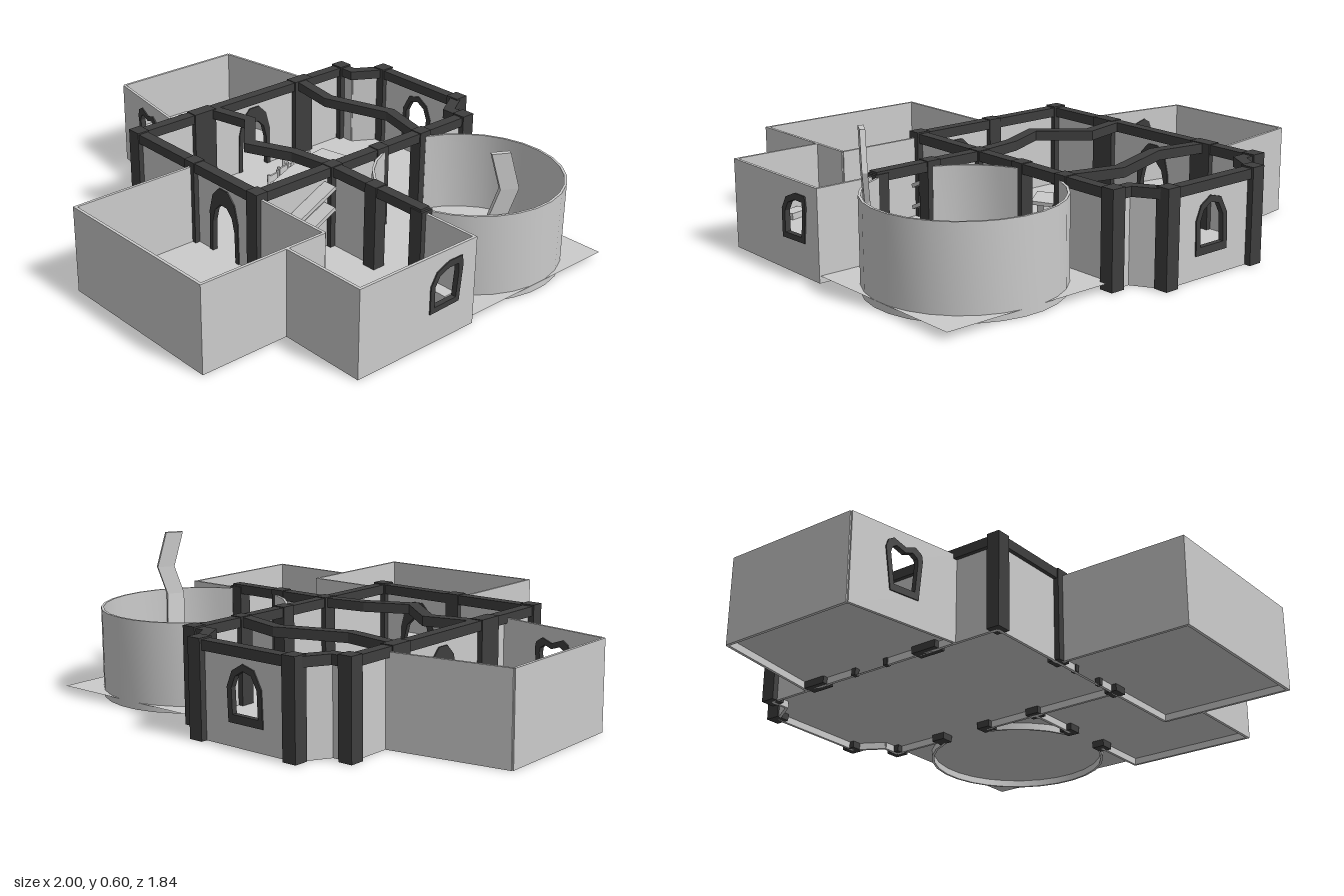
import * as THREE from 'three';
import { toCreasedNormals } from 'three/addons/utils/BufferGeometryUtils.js';

const grey = new THREE.MeshStandardMaterial({ color: 0xcccccc, side: THREE.DoubleSide });
const dark = new THREE.MeshStandardMaterial({ color: 0x3e3e3e });
const H = 0.355, T = 0.012, FLOOR = 0.028;

function add(parent, name, geo, mat = grey) {
  const m = new THREE.Mesh(geo, mat);
  m.name = name;
  parent.add(m);
  return m;
}
function box(parent, name, x0, x1, y0, y1, z0, z1, mat = grey) {
  const m = add(parent, name, new THREE.BoxGeometry(x1 - x0, y1 - y0, z1 - z0), mat);
  m.position.set((x0 + x1) / 2, (y0 + y1) / 2, (z0 + z1) / 2);
  return m;
}
const vecs = (pts, s = 1, cx = 0, cy = 0) =>
  pts.map(([x, y]) => new THREE.Vector2(cx + (x - cx) * s, cy + (y - cy) * s));
const plan = pts => new THREE.Shape(pts.map(([x, z]) => new THREE.Vector2(x, -z)));

// thin floor sheet from an [x, z] outline
function floor(parent, name, pts) {
  add(parent, name, new THREE.ShapeGeometry(plan(pts)).rotateX(-Math.PI / 2).translate(0, FLOOR, 0));
}
// horizontal slab from an [x, z] outline between two heights
function slab(parent, name, pts, y0, y1, mat = grey) {
  const g = new THREE.ExtrudeGeometry(plan(pts), { depth: y1 - y0, bevelEnabled: false });
  g.rotateX(-Math.PI / 2).translate(0, y0, 0);
  return add(parent, name, g, mat);
}
// mitred band of constant width along an [x, z] path
function band(parent, name, path, w, y0, y1, mat = dark) {
  const p = vecs(path), left = [], right = [];
  p.forEach((q, i) => {
    const a = q.clone().sub(p[Math.max(i - 1, 0)]).normalize();
    const b = p[Math.min(i + 1, p.length - 1)].clone().sub(q).normalize();
    const t = a.clone().add(b).normalize();
    const cos = Math.max(t.dot(i ? a : b), 0.5), k = w / 2 / cos;
    left.push([q.x - t.y * k, q.y + t.x * k]);
    right.unshift([q.x + t.y * k, q.y - t.x * k]);
  });
  return slab(parent, name, [...left, ...right], y0, y1, mat);
}

// opening outlines: [across, height], centred on the opening
const archWindow = [[-0.085, 0.09], [0.08, 0.09], [0.085, 0.22], [0.06, 0.28], [0.01, 0.31], [-0.045, 0.295], [-0.08, 0.23]];
const crookedWindow = [[-0.06, 0.105], [0.07, 0.105], [0.085, 0.265], [0.08, 0.29], [0.05, 0.31], [0.005, 0.295], [-0.05, 0.315], [-0.075, 0.3], [-0.085, 0.27]];
const leaningWindow = [[-0.08, 0.125], [0.065, 0.13], [0.08, 0.27], [0.075, 0.31], [0.01, 0.31], [-0.05, 0.285], [-0.08, 0.235]];
const archDoor = [[-0.09, 0], [-0.085, 0.2], [-0.065, 0.275], [-0.025, 0.315], [0.025, 0.315], [0.065, 0.275], [0.085, 0.2], [0.09, 0]];

// straight wall from a to b with an optional framed opening at distance u
function wall(parent, name, a, b, h = H, pts = null, u = 0) {
  const dx = b[0] - a[0], dz = b[1] - a[1], L = Math.hypot(dx, dz);
  const g = new THREE.Group();
  g.name = name;
  g.position.set(a[0], 0, a[1]);
  g.rotation.y = Math.atan2(-dz, dx);
  parent.add(g);
  const shape = new THREE.Shape(vecs([[0, 0], [L, 0], [L, h], [0, h]]));
  if (pts) {
    const door = pts === archDoor, cy = door ? 0 : 0.21;
    const at = s => vecs(pts, s, 0, cy).map(v => v.add(new THREE.Vector2(u, 0)));
    const hole = at(0.85);
    if (door) hole.forEach(v => { v.y = Math.max(v.y, 0.001); });
    shape.holes.push(new THREE.Path(hole));
    const ring = new THREE.Shape(door ? [...at(1), ...at(0.78).reverse()] : at(1));
    if (!door) ring.holes.push(new THREE.Path(at(0.74)));
    const fg = new THREE.ExtrudeGeometry(ring, { depth: 0.022, bevelEnabled: false });
    add(g, door ? 'doorFrame' : 'windowFrame', fg.translate(0, 0, -0.011), dark);
  }
  const wg = new THREE.ExtrudeGeometry(shape, { depth: T, bevelEnabled: false });
  add(g, 'panel', wg.translate(0, 0, -T / 2));
}

export function createModel() {
  const root = new THREE.Group();
  root.name = 'floorPlanHouse';
  const room = name => {
    const g = new THREE.Group();
    g.name = name;
    root.add(g);
    return g;
  };
  const hall = room('hall'), kitchen = room('kitchen'), front = room('frontRoom');
  const bedroom = room('bedroom'), tower = room('tower');
  const L = -0.507, R = 0.24, B = 0.352, M = -0.03;

  // floors, raised a little above the foot of the walls
  floor(hall, 'hallFloor', [[L, B], [R, B], [R, -0.77], [0.16, -0.77], [0.09, -0.89], [-0.36, -0.89], [-0.43, -0.77], [L, -0.77]]);
  floor(kitchen, 'kitchenFloor', [[-0.995, -0.508], [L, -0.582], [L, 0.162], [-0.995, 0.083]]);
  floor(front, 'frontRoomFloor', [[-0.138, B], [0.615, B], [0.615, 0.91], [-0.138, 0.91]]);
  floor(bedroom, 'bedroomFloor', [[R, M], [0.985, M], [0.985, 0.53], [0.615, 0.53], [0.615, B], [R, B]]);
  floor(tower, 'towerFloor', [[R, -0.772], [0.986, -0.772], [0.986, M], [R, M]]);

  // hall walls, including the back bay
  wall(hall, 'hallLeftWall', [L, -0.77], [L, -0.52], 0.34);
  wall(hall, 'kitchenDoorWall', [L, -0.52], [L, 0.03], 0.34, archDoor, 0.27);
  wall(hall, 'hallLeftFrontWall', [L, 0.03], [L, B], 0.34);
  wall(hall, 'hallFrontWall', [L, B], [-0.14, B], 0.34);
  wall(hall, 'frontDoorWall', [-0.14, B], [R, B], 0.34, archDoor, 0.19);
  wall(hall, 'bedroomSideWall', [R, M], [R, B], 0.34);
  wall(hall, 'nookWall', [R, -0.28], [R, M], 0.34);
  wall(hall, 'hallRightWall', [R, -0.77], [R, -0.52], 0.34);
  wall(hall, 'bayLeftWall', [-0.43, -0.77], [-0.36, -0.89], 0.34);
  wall(hall, 'bayBackWall', [-0.36, -0.89], [0.09, -0.89], 0.34, archWindow, 0.225);
  wall(hall, 'bayRightWall', [0.09, -0.89], [0.16, -0.77], 0.34);
  wall(hall, 'bayLeftReturn', [L, -0.77], [-0.43, -0.77], 0.34);
  wall(hall, 'bayRightReturn', [0.16, -0.77], [R, -0.77], 0.34);

  // timber posts: x, z, width, depth, height
  for (const [x, z, w, d, h] of [[L, -0.77, 0.06, 0.06, 0.38], [R, -0.77, 0.06, 0.06, 0.38],
    [-0.36, -0.892, 0.06, 0.06, 0.38], [0.09, -0.892, 0.06, 0.06, 0.38], [L, B, 0.062, 0.055, 0.38],
    [R, B, 0.06, 0.055, 0.38], [L, -0.52, 0.055, 0.1, 0.377], [L, 0.03, 0.055, 0.11, 0.377],
    [R, -0.52, 0.055, 0.06, 0.377], [R, -0.28, 0.055, 0.06, 0.377], [R, M, 0.055, 0.06, 0.377],
    [0.48, M, 0.06, 0.055, 0.377], [0.72, M, 0.06, 0.055, 0.365], [-0.14, B, 0.06, 0.055, 0.377]])
    box(hall, 'post', x - w / 2, x + w / 2, 0, h, z - d / 2, z + d / 2, dark);

  // timber beams
  const beams = [[[L, -0.77], [L, B]], [[R, -0.77], [R, B]], [[L, B], [R, B]], [[R, M], [0.74, M]],
    [[L, -0.77], [-0.43, -0.77], [-0.36, -0.89], [0.09, -0.89], [0.16, -0.77], [R, -0.77]],
    [[L, -0.515], [-0.27, -0.475], [0.01, -0.57], [R, -0.51]],
    [[L, -0.025], [-0.31, -0.07], [-0.13, 0.08], [0.05, 0], [R, M]]];
  beams.forEach(p => band(hall, 'beam', p, 0.045, 0.335, 0.374));

  // kitchen
  wall(kitchen, 'kitchenBackWall', [L, -0.58], [-0.994, -0.507]);
  wall(kitchen, 'kitchenSideWall', [-0.994, -0.507], [-0.994, 0.082]);
  wall(kitchen, 'kitchenFrontWall', [-0.994, 0.082], [L, 0.16], H, crookedWindow, 0.236);
  box(kitchen, 'stove', -0.985, -0.88, FLOOR, 0.14, -0.25, 0.045);
  box(kitchen, 'stoveDoor', -0.88, -0.872, 0.045, 0.12, -0.21, -0.06);
  for (const z of [-0.19, -0.1])
    add(kitchen, 'burner', new THREE.CylinderGeometry(0.027, 0.027, 0.01, 16)).position.set(-0.932, 0.144, z);

  // front room
  wall(front, 'frontRoomLeftWall', [-0.135, B], [-0.135, 0.914]);
  wall(front, 'frontRoomFrontWall', [-0.141, 0.908], [0.62, 0.908]);
  wall(front, 'frontRoomRightWall', [0.614, 0.914], [0.614, B]);
  wall(front, 'sharedWall', [R, B], [0.615, B]);

  // bedroom
  wall(bedroom, 'bedroomRightWall', [0.984, 0.535], [0.984, M], H, leaningWindow, 0.42);
  wall(bedroom, 'bedroomFrontWall', [0.615, 0.529], [0.99, 0.529]);
  wall(bedroom, 'bedroomBackWall', [0.72, M], [0.99, M]);
  wall(bedroom, 'nookBackWall', [R, M], [0.48, M], 0.34);
  box(bedroom, 'bedBase', 0.725, 0.95, FLOOR, 0.07, 0.215, 0.51);
  box(bedroom, 'mattress', 0.72, 0.955, 0.07, 0.105, 0.21, 0.505);
  box(bedroom, 'headboard', 0.71, 0.962, FLOOR, 0.17, 0.5, 0.517);
  for (const s of [-1, 1]) {
    const p = box(bedroom, 'pillow', -0.045, 0.045, 0.105, 0.13, -0.03, 0.03);
    p.position.x = 0.837 + s * 0.053;
    p.position.z = 0.445;
    p.rotation.y = -s * 0.25;
  }
  box(bedroom, 'nightstand', 0.82, 0.91, FLOOR, 0.1, -0.022, 0.03);
  for (const y of [0.15, 0.24])
    box(bedroom, 'slantedShelf', 0.25, 0.312, y - 0.008, y + 0.008, 0, 0.33).rotation.x = 0.45;

  // round tower wall with two gaps for doorways
  for (const [a, b] of [[199, 430], [110, 162]]) {
    const n = Math.round((b - a) / 13), path = [];
    for (let i = 0; i <= n; i++) {
      const t = (a + (b - a) * i / n) * Math.PI / 180;
      path.push([0.613 + 0.369 * Math.cos(t), -0.402 + 0.369 * Math.sin(t)]);
    }
    const m = band(tower, 'roundWall', path, 0.01, 0, H, grey);
    m.geometry = toCreasedNormals(m.geometry, 0.6);
  }

  // fireplace with crooked chimney
  const fire = new THREE.Group();
  fire.name = 'fireplace';
  fire.position.set(0.88, 0, -0.26);
  fire.rotation.y = 1.05;
  tower.add(fire);
  box(fire, 'hearth', -0.1, 0.1, FLOOR, 0.05, -0.05, 0.05);
  for (const s of [-1, 1]) box(fire, 'jamb', s * 0.075 - 0.015, s * 0.075 + 0.015, 0.05, 0.14, -0.035, 0.045);
  box(fire, 'mantel', -0.1, 0.1, 0.14, 0.165, -0.05, 0.05);
  box(fire, 'fireBack', -0.08, 0.08, 0.05, 0.14, 0.035, 0.045);
  const rings = [[0.89, 0.16, -0.25], [0.91, 0.34, -0.228], [0.936, 0.455, -0.255], [0.917, 0.6, -0.219]];
  const pos = [], idx = [];
  rings.forEach(([x, y, z], k) => {
    for (const [s, r] of [[-1, 1], [-1, -1], [1, -1], [1, 1]])
      pos.push(x + s * 0.0176 + r * 0.0087, y, z - s * 0.031 + r * 0.005);
    if (k) for (let j = 0; j < 4; j++) {
      const a = k * 4 - 4 + j, b = k * 4 - 4 + (j + 1) % 4;
      idx.push(a, a + 4, b, b, a + 4, b + 4);
    }
  });
  idx.push(12, 14, 13, 12, 15, 14);
  let chimney = new THREE.BufferGeometry();
  chimney.setAttribute('position', new THREE.Float32BufferAttribute(pos, 3));
  chimney.setIndex(idx);
  chimney = chimney.toNonIndexed();
  chimney.computeVertexNormals();
  add(tower, 'chimney', chimney);

  // curved table and chairs
  const table = [[-0.29, -0.46], [-0.27, -0.33], [-0.235, -0.22], [-0.18, -0.09], [-0.11, 0.025],
    [0.005, -0.065], [-0.045, -0.18], [-0.075, -0.29], [-0.095, -0.4], [-0.1, -0.5]];
  slab(hall, 'tableTop', table, 0.115, 0.13);
  for (const [x, z] of [[-0.19, -0.43], [-0.08, -0.06]])
    box(hall, 'tableLeg', x - 0.03, x + 0.03, FLOOR, 0.115, z - 0.02, z + 0.02);
  for (const [x, z, s] of [[-0.06, -0.38, 1], [-0.045, -0.3, 1], [-0.02, -0.22, 1], [-0.28, -0.36, -1],
    [-0.3, -0.28, -1], [-0.25, -0.21, -1], [-0.22, -0.13, -1]]) {
    const chair = new THREE.Group();
    chair.name = 'chair';
    chair.position.set(x, 0, z);
    chair.rotation.y = s > 0 ? 0.2 : Math.PI + 0.2;
    hall.add(chair);
    box(chair, 'seat', -0.022, 0.014, 0.075, 0.083, -0.024, 0.024);
    box(chair, 'back', 0.006, 0.014, 0.1, 0.13, -0.03, 0.03);
    for (const e of [-1, 1])
      add(chair, 'backPost', new THREE.CylinderGeometry(0.007, 0.007, 0.11, 8)).position.set(0.01, 0.083, e * 0.03);
  }
  return root;
}
